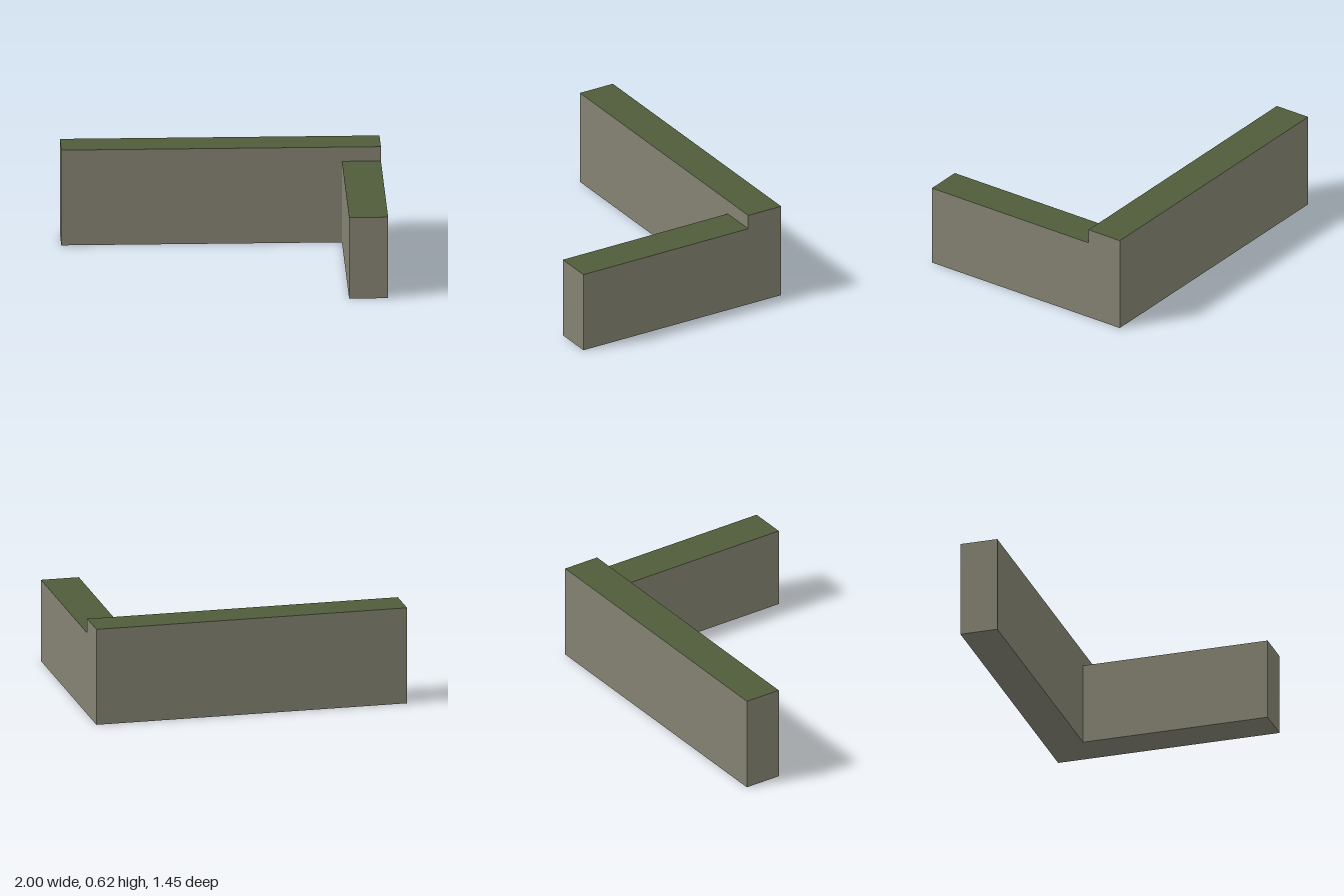
import * as THREE from 'three';

export function createModel() {
  const model = new THREE.Group();
  model.name = 'cornerWall';

  const stone = new THREE.MeshStandardMaterial({ color: 0x848272 });
  stone.name = 'stone';
  const moss = new THREE.MeshStandardMaterial({ color: 0x4f5c39 });
  moss.name = 'moss green';

  // Stone block standing on the ground, with a green top face
  function wall(name, x0, x1, z0, z1, height) {
    const geometry = new THREE.BoxGeometry(x1 - x0, height, z1 - z0);
    const mesh = new THREE.Mesh(geometry, [stone, stone, moss, stone, stone, stone]);
    mesh.name = name;
    mesh.position.set((x0 + x1) / 2, height / 2, (z0 + z1) / 2);
    model.add(mesh);
  }

  // Tall wall along the back, lower wall running forward from its left end
  wall('backWall', -1, 1, -0.727, -0.485, 0.622);
  wall('sideWall', 0.756, 1, -0.485, 0.727, 0.529);

  return model;
}
